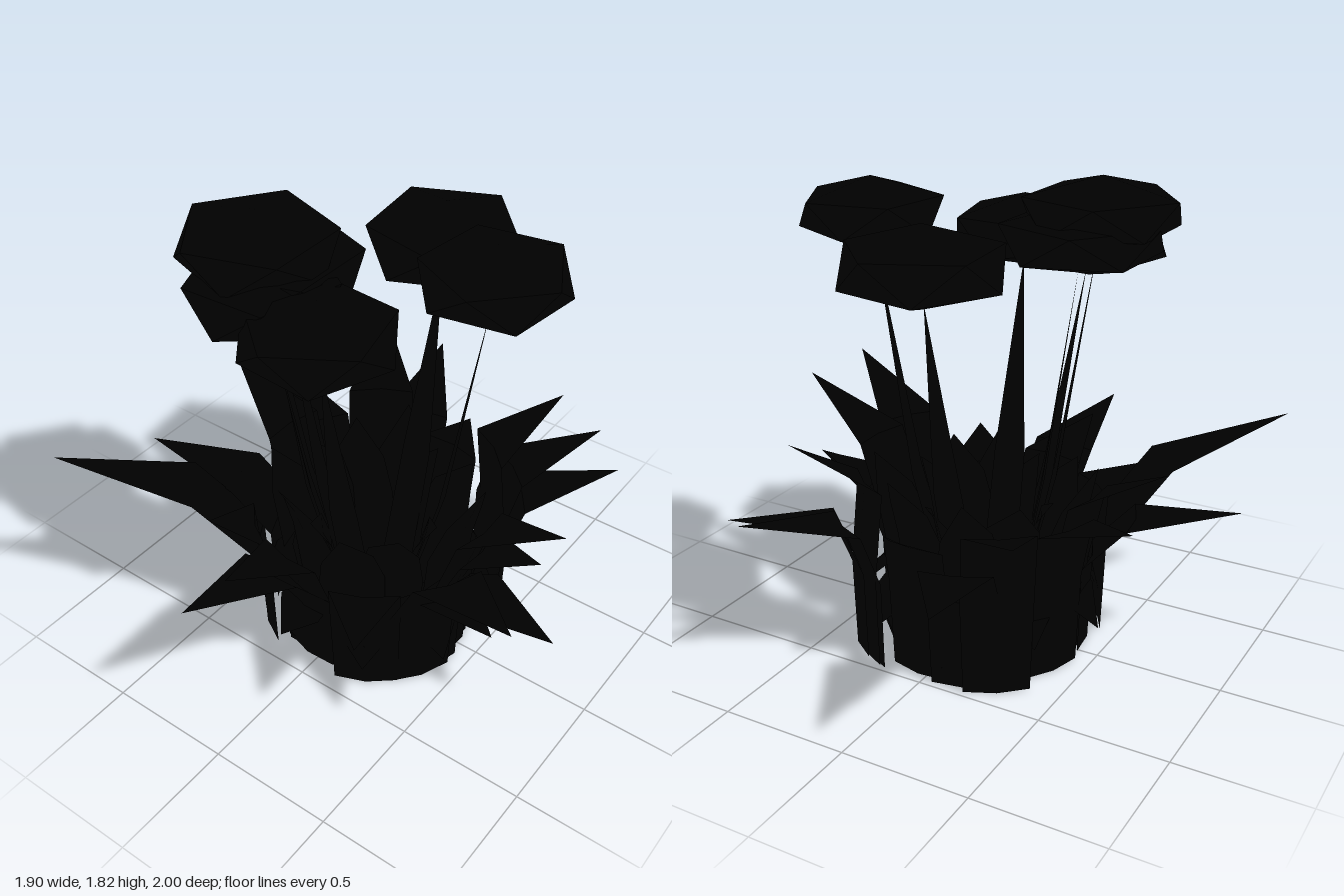
import * as THREE from 'three';

const dark = new THREE.MeshStandardMaterial({ color: 0x000000, flatShading: true, side: THREE.DoubleSide });

// Folded blade pointing in direction `angle`, its width turned by `twist`; rows are [radius, height, width]
function blade(name, angle, rows, fold, twist = 0) {
  const pos = [], index = [];
  const c = Math.cos(angle), s = Math.sin(angle);
  const tx = -Math.sin(angle + twist), tz = Math.cos(angle + twist);
  rows.forEach(([r, y, w], i) => {
    for (const k of [-1, 0, 1]) {
      const rr = r + (k === 0 && w > 0 ? fold : 0);
      const t = k * w / 2;
      pos.push(c * rr + tx * t, y, s * rr + tz * t);
    }
    if (i === 0) return;
    for (let k = 0; k < 2; k++) {
      const a = (i - 1) * 3 + k, b = a + 3;
      index.push(a, b, a + 1, a + 1, b, b + 1);
    }
  });
  const g = new THREE.BufferGeometry();
  g.setAttribute('position', new THREE.Float32BufferAttribute(pos, 3));
  g.setIndex(index);
  g.computeVertexNormals();
  const mesh = new THREE.Mesh(g, dark);
  mesh.name = name;
  return mesh;
}

// Tips of the arching outer leaves
const leafTips = [
  [-0.36, 0.62, -1.0], [-0.56, 0.83, -0.82], [0.55, 0.65, -0.82], [0.7, 0.59, -0.7],
  [0.46, 0.91, -0.62], [-0.77, 0.73, -0.35], [-0.79, 0.86, -0.1], [-0.95, 0.6, 0.27],
  [-0.95, 0.83, 0.78], [-0.1, 0.69, 1.0], [-0.1, 0.67, 0.78], [0.41, 0.56, 0.69],
  [0.95, 0.86, 0.56], [0.93, 0.5, 0.2], [0.88, 0.9, 0.09], [0.75, 0.53, 0.33],
  [0.74, 0.61, -0.02], [0.05, 0.62, -0.6], [-0.42, 0.6, 0.52],
];

// Flower heads: centre x, y, z, radius, half height
const heads = [
  [-0.37, 1.69, 0.2, 0.33, 0.13], [0.41, 1.67, -0.12, 0.3, 0.13], [-0.29, 1.57, 0.27, 0.32, 0.14],
  [0.03, 1.55, 0.37, 0.31, 0.14], [0.02, 1.57, -0.4, 0.33, 0.15], [-0.32, 1.6, 0.14, 0.34, 0.13],
];

export function createModel() {
  const model = new THREE.Group();

  // Thin ground clump under the leaves
  const base = new THREE.Mesh(new THREE.CylinderGeometry(0.41, 0.41, 0.02, 8), dark);
  base.name = 'clumpBase';
  base.position.y = 0.01;
  base.rotation.y = Math.PI / 8;
  model.add(base);

  // Arching outer leaves, feet spread toward the diagonals and the back
  const leaves = new THREE.Group();
  leaves.name = 'outerLeaves';
  for (const [x, y, z] of leafTips) {
    const R = Math.hypot(x, z), angle = Math.atan2(z, x);
    const foot = 0.38 + 0.07 * Math.sin(2 * angle) ** 2 + (z < -0.5 ? 0.05 : 0);
    leaves.add(blade('outerLeaf', angle, [
      [foot, 0, 0.25], [foot + 0.01, 0.36, 0.27],
      [Math.max(0.47, R * 0.58), y * (1.1 - 0.35 * y), 0.27], [R, y, 0],
    ], 0.02));
  }
  model.add(leaves);

  // Upright leaves filling the middle, turned alternately
  const inner = new THREE.Group();
  inner.name = 'innerLeaves';
  for (let i = 0; i < 12; i++) {
    const a = i * Math.PI / 6 + 0.2, r = 0.17 + 0.05 * (i % 3);
    inner.add(blade('innerLeaf', a, [
      [r, 0, 0.24], [r + 0.04, 0.4, 0.26], [r + 0.09, 0.56, 0.2], [r + 0.17, 0.68 + 0.04 * (i % 3 - 1), 0],
    ], 0.02, i % 2 ? 0.5 : -0.5));
  }
  model.add(inner);

  // Short fringe leaves low on the outside
  const fringe = new THREE.Group();
  fringe.name = 'fringeLeaves';
  for (let i = 0; i < 9; i++) {
    const a = i * Math.PI * 2 / 9 + 0.35;
    fringe.add(blade('fringeLeaf', a, [
      [0.32, 0.34, 0.24], [0.42, 0.25, 0.22], [0.48 + 0.02 * (i % 3), 0.07 + 0.05 * (i % 3), 0],
    ], 0.02));
  }
  model.add(fringe);

  // Faceted flower heads on tapering stems
  const headGeo = new THREE.IcosahedronGeometry(1, 0);
  headGeo.rotateZ(Math.atan(2 / (1 + Math.sqrt(5))));
  heads.forEach(([x, y, z, r, h], i) => {
    const flower = new THREE.Group();
    flower.name = 'flower';
    const head = new THREE.Mesh(headGeo, dark);
    head.name = 'flowerHead';
    head.position.set(x, y, z);
    head.scale.set(r, h, r);
    head.rotation.y = i * 0.5;
    const R = Math.hypot(x, z);
    const stem = blade('stem', Math.atan2(z, x), [
      [0.1, 0, 0.15], [R * 0.64, 0.66, 0.13], [R * 0.98, y - h + 0.02, 0],
    ], 0.01);
    flower.add(stem, head);
    model.add(flower);
  });

  return model;
}
